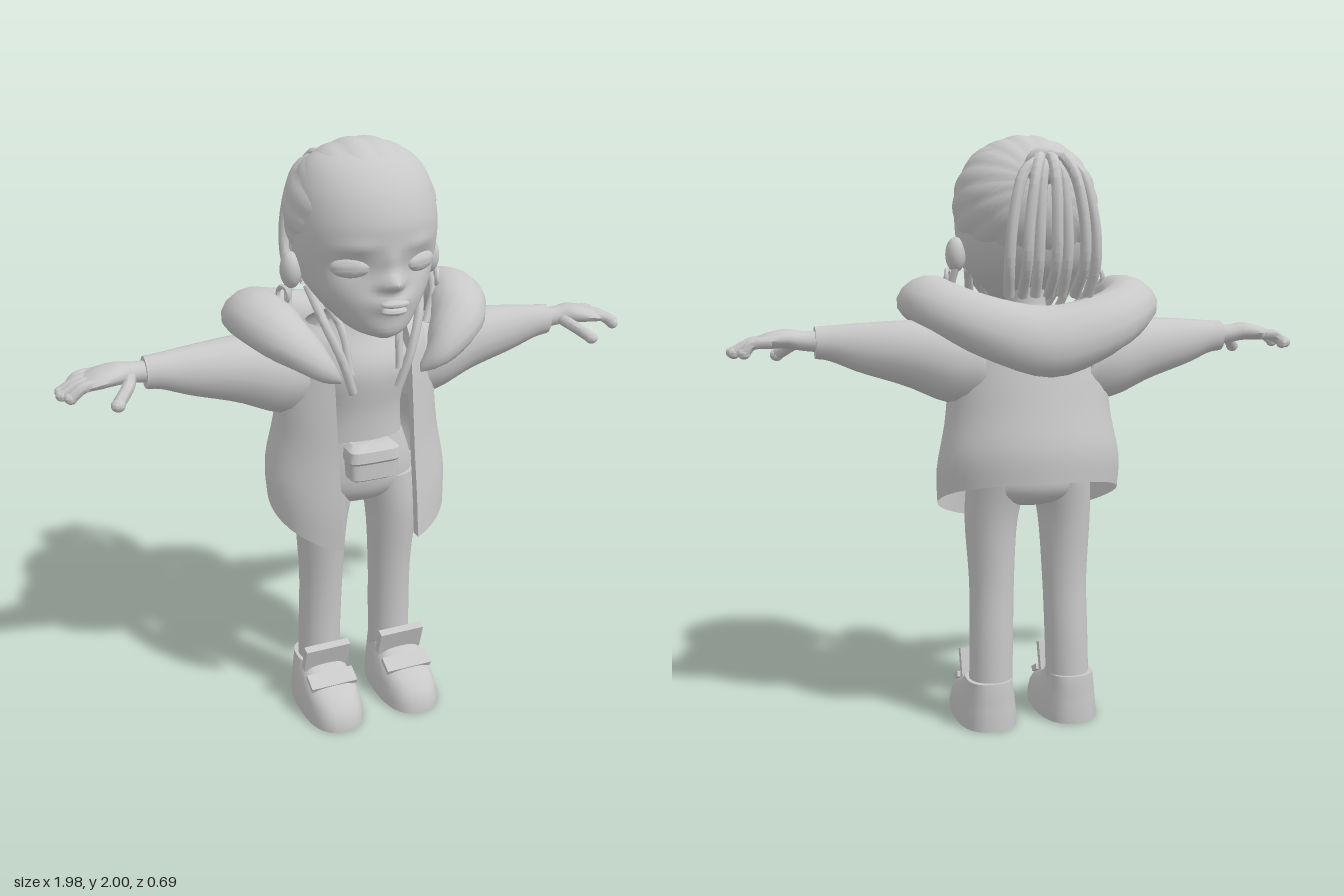
import * as THREE from 'three';
import { toCreasedNormals } from 'three/addons/utils/BufferGeometryUtils.js';

const V = (x, y, z) => new THREE.Vector3(x, y, z);

// Catmull-Rom interpolation of rows of numbers
function smooth(rows, n) {
  const last = rows.length - 1, out = [];
  for (let i = 0; i <= n; i++) {
    const u = (i / n) * last, k = Math.min(Math.floor(u), last - 1), t = u - k;
    const [a, b, c, d] = [k - 1, k, k + 1, k + 2].map(j => rows[Math.max(0, Math.min(last, j))]);
    out.push(b.map((_, m) => 0.5 * (2 * b[m] + (c[m] - a[m]) * t
      + (2 * a[m] - 5 * b[m] + 4 * c[m] - d[m]) * t * t
      + (3 * b[m] - a[m] - 3 * c[m] + d[m]) * t * t * t)));
  }
  return out;
}

// Skin over a list of rings; closed rings wrap round and may be capped
function loft(rings, closed = true, cap = true) {
  const n = rings[0].length, pos = [], idx = [];
  rings.forEach(r => r.forEach(p => pos.push(p.x, p.y, p.z)));
  for (let i = 0; i < rings.length - 1; i++) {
    for (let j = 0; j < (closed ? n : n - 1); j++) {
      const a = i * n + j, b = i * n + (j + 1) % n;
      idx.push(a, a + n, b, b, a + n, b + n);
    }
  }
  if (closed && cap) [0, rings.length - 1].forEach(i => {
    const c = rings[i].reduce((s, p) => s.add(p), V(0, 0, 0)).divideScalar(n), ci = pos.length / 3;
    pos.push(c.x, c.y, c.z);
    for (let j = 0; j < n; j++) {
      const a = i * n + j, b = i * n + (j + 1) % n;
      i ? idx.push(ci, b, a) : idx.push(ci, a, b);
    }
  });
  const g = new THREE.BufferGeometry();
  g.setAttribute('position', new THREE.Float32BufferAttribute(pos, 3));
  g.setIndex(idx);
  return g;
}

// Horizontal ring [y, half width, back z, front z]; e squares it off
function flatRing([y, w, zb, zf], n = 24, cx = 0, e = 2) {
  const f = v => Math.sign(v) * Math.abs(v) ** (2 / e);
  return Array.from({ length: n }, (_, i) => {
    const a = (i / n) * Math.PI * 2;
    return V(cx + w * f(Math.sin(a)), y, (zb + zf) / 2 + (zf - zb) / 2 * f(Math.cos(a)));
  });
}

// Upright ring across x: [x, centre y, radius y, centre z, radius z]
function armRing([x, cy, ry, cz, rz], n = 16) {
  return Array.from({ length: n }, (_, i) => {
    const a = -(i / n) * Math.PI * 2;
    return V(x, cy + ry * Math.cos(a), cz + rz * Math.sin(a));
  });
}

const tube = (pts, r, seg = 14) =>
  new THREE.TubeGeometry(new THREE.CatmullRomCurve3(pts.map(p => V(...p))), seg, r, 7);

const blob = (x, y, z, rx, ry, rz, yaw = 0) =>
  new THREE.SphereGeometry(1, 20, 14).scale(rx, ry, rz).rotateY(yaw).translate(x, y, z);

function mirrored(g) {
  const m = g.clone().scale(-1, 1, 1), a = m.index.array;
  for (let i = 0; i < a.length; i += 3) [a[i], a[i + 1]] = [a[i + 1], a[i]];
  return m;
}

export function createModel() {
  const root = new THREE.Group();
  const clay = new THREE.MeshStandardMaterial({ color: 0xc8c8c8, side: THREE.DoubleSide });
  clay.name = 'pale grey';

  const add = (name, g, crease = 0.9) => {
    const mesh = new THREE.Mesh(toCreasedNormals(g, crease), clay);
    mesh.name = name;
    root.add(mesh);
  };
  const pair = (name, g, crease) => {
    add('left ' + name, g, crease);
    add('right ' + name, mirrored(g), crease);
  };

  // Head with sculpted nose, mouth and eye sockets
  const head = loft(smooth([
    [1.985, 0.02, 0, 0.04], [1.975, 0.1, -0.06, 0.12], [1.94, 0.17, -0.11, 0.19],
    [1.87, 0.212, -0.15, 0.25], [1.78, 0.228, -0.16, 0.283], [1.70, 0.23, -0.16, 0.28],
    [1.62, 0.218, -0.14, 0.268], [1.55, 0.188, -0.1, 0.275], [1.48, 0.13, -0.02, 0.28],
    [1.44, 0.085, 0.06, 0.272], [1.42, 0.03, 0.15, 0.245],
  ], 60).map(r => flatRing(r, 72)));
  const bumps = [ // x, y, spread x, spread y, height
    [0, 1.605, 0.028, 0.026, 0.06], [0, 1.66, 0.024, 0.045, 0.016], [0, 1.54, 0.06, 0.03, 0.028],
    [0.115, 1.65, 0.05, 0.035, -0.016], [-0.115, 1.65, 0.05, 0.035, -0.016],
    [0.032, 1.595, 0.016, 0.015, 0.018], [-0.032, 1.595, 0.016, 0.015, 0.018],
    [0.1, 1.715, 0.06, 0.018, 0.008], [-0.1, 1.715, 0.06, 0.018, 0.008],
  ];
  const hp = head.attributes.position;
  for (let i = 0; i < hp.count; i++) {
    if (hp.getZ(i) < 0.14) continue;
    let d = 0;
    for (const [x, y, sx, sy, h] of bumps)
      d += h * Math.exp(-(((hp.getX(i) - x) / sx) ** 2 + ((hp.getY(i) - y) / sy) ** 2));
    hp.setZ(i, hp.getZ(i) + d);
  }
  add('head', head, 1.4);
  pair('eye', blob(0.115, 1.65, 0.226, 0.062, 0.032, 0.022, 0.45));
  add('upper lip', blob(0, 1.545, 0.303, 0.047, 0.012, 0.024));
  add('lower lip', blob(0, 1.522, 0.298, 0.042, 0.014, 0.026));
  pair('ear', blob(0.237, 1.61, 0.04, 0.034, 0.058, 0.04));
  pair('earring', new THREE.TorusGeometry(0.025, 0.008, 6, 14).rotateY(1.2).translate(0.265, 1.535, 0.045));

  // Hair cap with rows converging on the ponytail
  const hair = new THREE.SphereGeometry(1, 108, 28, 0, Math.PI * 2, 0, THREE.MathUtils.degToRad(117));
  const pp = hair.attributes.position;
  for (let i = 0; i < pp.count; i++) {
    const x = pp.getX(i), y = pp.getY(i), z = pp.getZ(i);
    const k = 0.985 + 0.022 * Math.abs(Math.cos(Math.atan2(z, x) * 9)) * Math.hypot(x, z);
    pp.setXYZ(i, x * k, y * k, z * k);
  }
  hair.rotateX(-1.31).scale(0.243, 0.228, 0.226).translate(0, 1.773, 0.03);
  add('hair', hair, 0.7);

  // Ponytail of thick strands and its tie
  add('hair bun', blob(0, 1.885, -0.175, 0.06, 0.06, 0.05));
  add('hair tie', new THREE.TorusGeometry(0.042, 0.018, 8, 18).rotateX(-0.5).translate(0, 1.885, -0.2));
  for (let i = -3; i <= 3; i++) {
    const s = i / 3, odd = Math.abs(i) % 2;
    add('ponytail strand', tube([
      [s * 0.02, 1.88, -0.2], [s * 0.05, 1.91 - 0.02 * odd, -0.26], [s * 0.09, 1.86, -0.31 + 0.03 * odd],
      [s * 0.13, 1.72, -0.335 + 0.035 * odd], [s * 0.14, 1.58, -0.32 + 0.03 * odd], [s * 0.13, 1.48, -0.24],
    ], 0.018, 20));
  }
  // Loose strands beside the neck
  pair('front strand', tube([[0.19, 1.56, 0.06], [0.165, 1.46, 0.13], [0.12, 1.34, 0.17], [0.08, 1.22, 0.165]], 0.015));
  pair('side strand', tube([[0.23, 1.6, 0.02], [0.25, 1.5, 0.05], [0.21, 1.4, 0.09]], 0.013));
  pair('inner strand', tube([[0.14, 1.52, 0.06], [0.1, 1.42, 0.12], [0.085, 1.28, 0.16]], 0.013));

  // Neck, shirt and trousers
  add('torso', loft(smooth([
    [1.52, 0.07, -0.05, 0.09], [1.43, 0.07, -0.05, 0.08], [1.38, 0.13, -0.09, 0.09],
    [1.27, 0.175, -0.11, 0.14], [1.12, 0.15, -0.1, 0.12], [0.98, 0.16, -0.1, 0.115],
  ], 20).map(r => flatRing(r))));
  add('hips', loft(smooth([
    [1.02, 0.16, -0.11, 0.118], [0.92, 0.195, -0.14, 0.125], [0.84, 0.205, -0.145, 0.115],
    [0.79, 0.16, -0.11, 0.075], [0.77, 0.06, -0.06, 0.02],
  ], 14).map(r => flatRing(r))));
  pair('leg', loft(smooth([
    [0.87, 0.108, 0.105, -0.13, 0.105], [0.72, 0.13, 0.09, -0.1, 0.1], [0.5, 0.131, 0.077, -0.085, 0.072],
    [0.3, 0.135, 0.075, -0.092, 0.058], [0.1, 0.14, 0.075, -0.095, 0.055],
  ], 16).map(([y, cx, ...r]) => flatRing([y, ...r], 20, cx))));
  add('waist pouch', loft([
    [1.025, 0.07, 0.08, 0.15], [1.01, 0.088, 0.08, 0.18], [0.975, 0.092, 0.08, 0.185],
    [0.965, 0.088, 0.08, 0.175], [0.91, 0.085, 0.08, 0.175], [0.895, 0.07, 0.08, 0.15],
  ].map(r => flatRing(r, 24, 0, 5))), 0.6);

  // Shoes with raised straps
  pair('shoe', loft([
    [0.165, 0.078, -0.105, 0.07], [0.13, 0.085, -0.11, 0.13], [0.105, 0.094, -0.11, 0.2],
    [0.07, 0.1, -0.113, 0.242], [0.03, 0.105, -0.115, 0.26], [0, 0.105, -0.115, 0.262],
  ].map(r => flatRing(r, 28, 0.146, 2.6))), 0.7);
  pair('shoe tongue', new THREE.BoxGeometry(0.165, 0.1, 0.028).rotateX(0.3).translate(0.143, 0.195, 0.066), 0.4);
  pair('shoe strap', new THREE.BoxGeometry(0.17, 0.02, 0.06).rotateX(0.45).translate(0.145, 0.13, 0.125), 0.4);

  // Open jacket: hem falls from back to front, front edges fold inward
  const top = 1.42;
  add('jacket', loft(smooth([
    [1.42, 0.17, -0.12, 0.12], [1.36, 0.235, -0.15, 0.16], [1.2, 0.27, -0.19, 0.185],
    [1.05, 0.287, -0.22, 0.205], [0.9, 0.315, -0.25, 0.23], [0.78, 0.312, -0.25, 0.245],
  ], 20).map(([y, w, zb, zf]) => {
    const t = (top - y) / (top - 0.78), a0 = Math.asin(0.135 / w), ring = [];
    for (let i = 0; i <= 40; i++) {
      const a = a0 + (i / 40) * (Math.PI * 2 - 2 * a0);
      const s = (1 + Math.cos(a)) / 2;
      const hem = 0.875 - 0.2 * s ** 1.3;
      ring.push(V(w * Math.sin(a), top - (top - hem) * t, zb + (zf - zb) * s));
    }
    const fold = p => p.clone().add(V(0, 0, -0.035));
    return [fold(ring[0]), ...ring, fold(ring[40])];
  }), false), 0.8);

  // Hood lying round the shoulders: [x, y, z, outward radius, height radius]
  const half = [
    [0.14, 1.29, 0.2, 0.012, 0.015], [0.2, 1.355, 0.205, 0.055, 0.06], [0.29, 1.43, 0.15, 0.085, 0.078],
    [0.345, 1.468, 0.03, 0.092, 0.075], [0.325, 1.45, -0.1, 0.092, 0.08], [0.2, 1.385, -0.205, 0.092, 0.1],
  ];
  const hoodRows = smooth([...half, [0, 1.335, -0.24, 0.09, 0.115],
    ...half.slice().reverse().map(([x, ...r]) => [-x, ...r])], 48);
  add('hood', loft(hoodRows.map(([x, y, z, ro, rh], i) => {
    const p = hoodRows[Math.max(0, i - 1)], q = hoodRows[Math.min(48, i + 1)];
    const out = V(-(q[2] - p[2]), 0, q[0] - p[0]).normalize();
    if (out.x * x + out.z * z < 0) out.negate();
    return Array.from({ length: 14 }, (_, j) => {
      const a = (j / 14) * Math.PI * 2, c = Math.cos(a), s = Math.sin(a);
      // the roll leans outward as it drops
      return V(x, y + rh * s, z).addScaledVector(out, ro * (c - 0.2 * s));
    });
  })), 1.1);

  // Sleeves, hands and fingers
  pair('sleeve', loft(smooth([
    [0.18, 1.25, 0.13, -0.02, 0.13], [0.29, 1.262, 0.135, -0.02, 0.125], [0.42, 1.29, 0.108, -0.015, 0.098],
    [0.57, 1.31, 0.08, -0.002, 0.066], [0.66, 1.325, 0.058, 0.008, 0.052], [0.71, 1.328, 0.052, 0.01, 0.047],
  ], 16).map(r => armRing(r))));
  pair('hand', loft(smooth([
    [0.68, 1.33, 0.035, 0.01, 0.036], [0.75, 1.335, 0.032, 0.012, 0.038], [0.8, 1.342, 0.032, 0.022, 0.062],
    [0.86, 1.336, 0.026, 0.025, 0.072], [0.895, 1.328, 0.018, 0.025, 0.066],
  ], 12).map(r => armRing(r))));
  [[-0.03, 0.955], [0.004, 0.985], [0.038, 0.988], [0.074, 0.968]].forEach(([z, end]) => {
    pair('finger', tube([[0.85, 1.335, z], [0.91, 1.328, z], [end - 0.02, 1.3, z]], 0.018, 8));
    pair('fingertip', blob(end - 0.02, 1.3, z, 0.02, 0.018, 0.018));
  });
  pair('thumb', tube([[0.76, 1.33, 0.04], [0.78, 1.315, 0.09], [0.82, 1.285, 0.135]], 0.02, 8));
  pair('thumb tip', blob(0.822, 1.282, 0.138, 0.022, 0.02, 0.022));

  return root;
}
